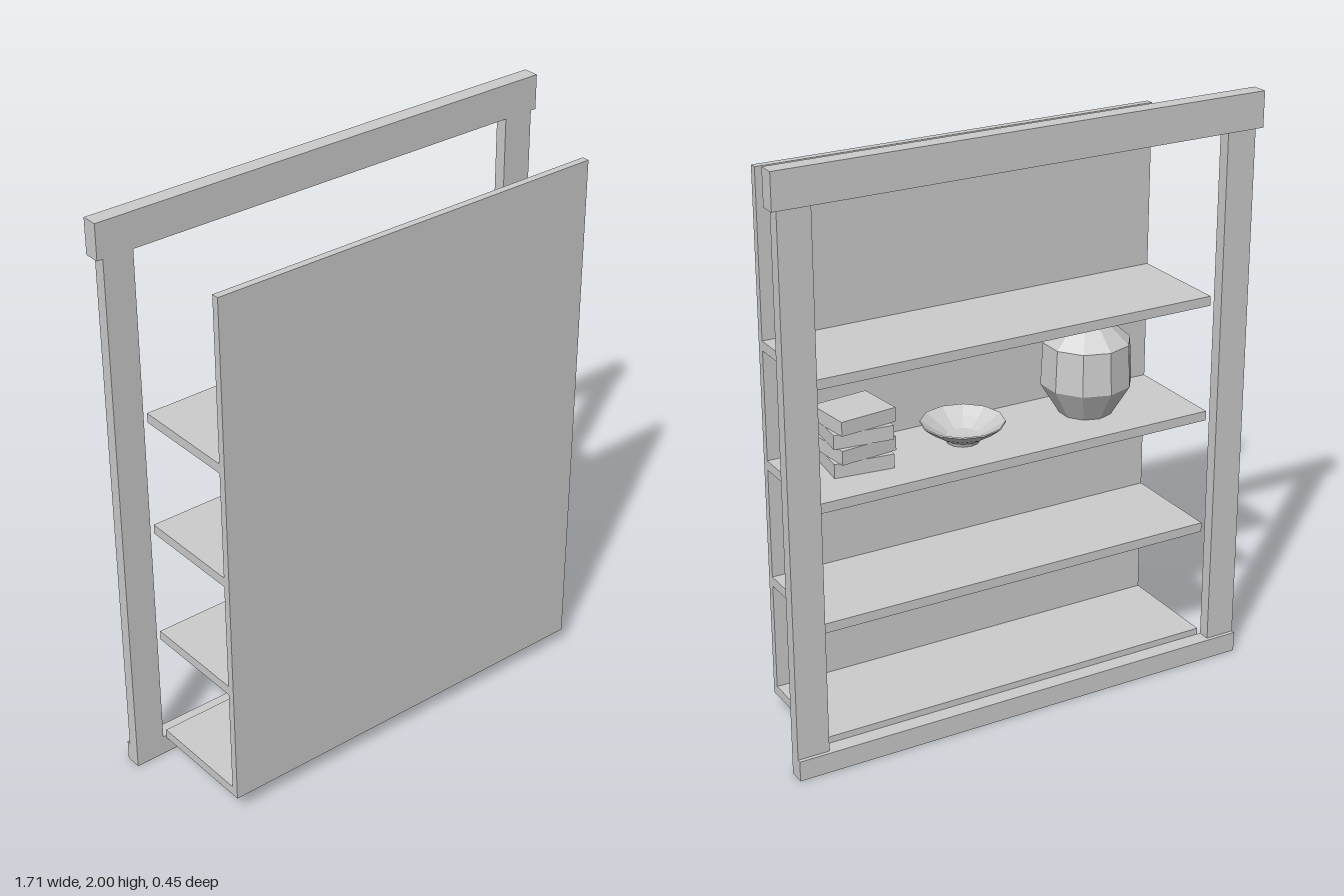
import * as THREE from 'three';

const grey = new THREE.MeshStandardMaterial({ color: 0xcccccc, flatShading: true });
grey.name = 'plainGrey';

// Box given by its min and max corners
function box(name, [x0, y0, z0], [x1, y1, z1]) {
  const mesh = new THREE.Mesh(new THREE.BoxGeometry(x1 - x0, y1 - y0, z1 - z0), grey);
  mesh.position.set((x0 + x1) / 2, (y0 + y1) / 2, (z0 + z1) / 2);
  mesh.name = name;
  return mesh;
}

// Faceted vessel turned from a closed profile of [radius, height] points
function vessel(name, profile, sides, x, y, z) {
  const points = profile.map(([r, h]) => new THREE.Vector2(r, h));
  const mesh = new THREE.Mesh(new THREE.LatheGeometry(points, sides), grey);
  mesh.position.set(x, y, z);
  mesh.name = name;
  return mesh;
}

export function createModel() {
  const model = new THREE.Group();
  model.name = 'shelfNiche';

  // Open frame: top rail, bottom rail and two posts
  const frame = new THREE.Group();
  frame.name = 'frame';
  frame.add(
    box('topRail', [-0.855, 1.88, -0.225], [0.855, 2, -0.17]),
    box('bottomRail', [-0.835, 0, -0.225], [0.835, 0.07, -0.17]),
    box('postRight', [-0.835, 0.07, -0.212], [-0.73, 1.88, -0.17]),
    box('postLeft', [0.725, 0.07, -0.212], [0.835, 1.88, -0.17]),
  );
  model.add(frame);

  // Large panel and the four shelves it carries
  model.add(box('panel', [-0.717, 0.06, 0.2], [0.713, 1.88, 0.225]));
  [0.06, 0.467, 0.88, 1.287].forEach((y, i) => {
    model.add(box(`shelf${i + 1}`, [-0.717, y, -0.17], [0.713, y + 0.033, 0.2]));
  });

  const shelfTop = 0.913;

  // Stack of books, turned alternately
  const books = new THREE.Group();
  books.name = 'bookStack';
  for (let i = 0; i < 4; i++) {
    const book = new THREE.Mesh(new THREE.BoxGeometry(0.2, 0.048, 0.17), grey);
    book.name = `book${i + 1}`;
    book.position.y = 0.024 + i * 0.049;
    book.rotation.y = i % 2 ? 0.11 : -0.11;
    books.add(book);
  }
  books.position.set(0.48, shelfTop, 0.046);
  model.add(books);

  // Shallow bowl
  model.add(vessel('bowl', [
    [0, 0], [0.055, 0], [0.06, 0.012], [0.105, 0.038], [0.14, 0.066],
    [0.138, 0.07], [0.1, 0.045], [0.055, 0.02], [0, 0.016],
  ], 12, 0.1, shelfTop, 0.028));

  // Wide vase with a flared neck
  model.add(vessel('vase', [
    [0, 0], [0.09, 0], [0.155, 0.107], [0.148, 0.252], [0.066, 0.325],
    [0.09, 0.367], [0.082, 0.367], [0.058, 0.325], [0.135, 0.245],
    [0.142, 0.11], [0.08, 0.015], [0, 0.015],
  ], 10, -0.377, shelfTop, 0.043));

  return model;
}
